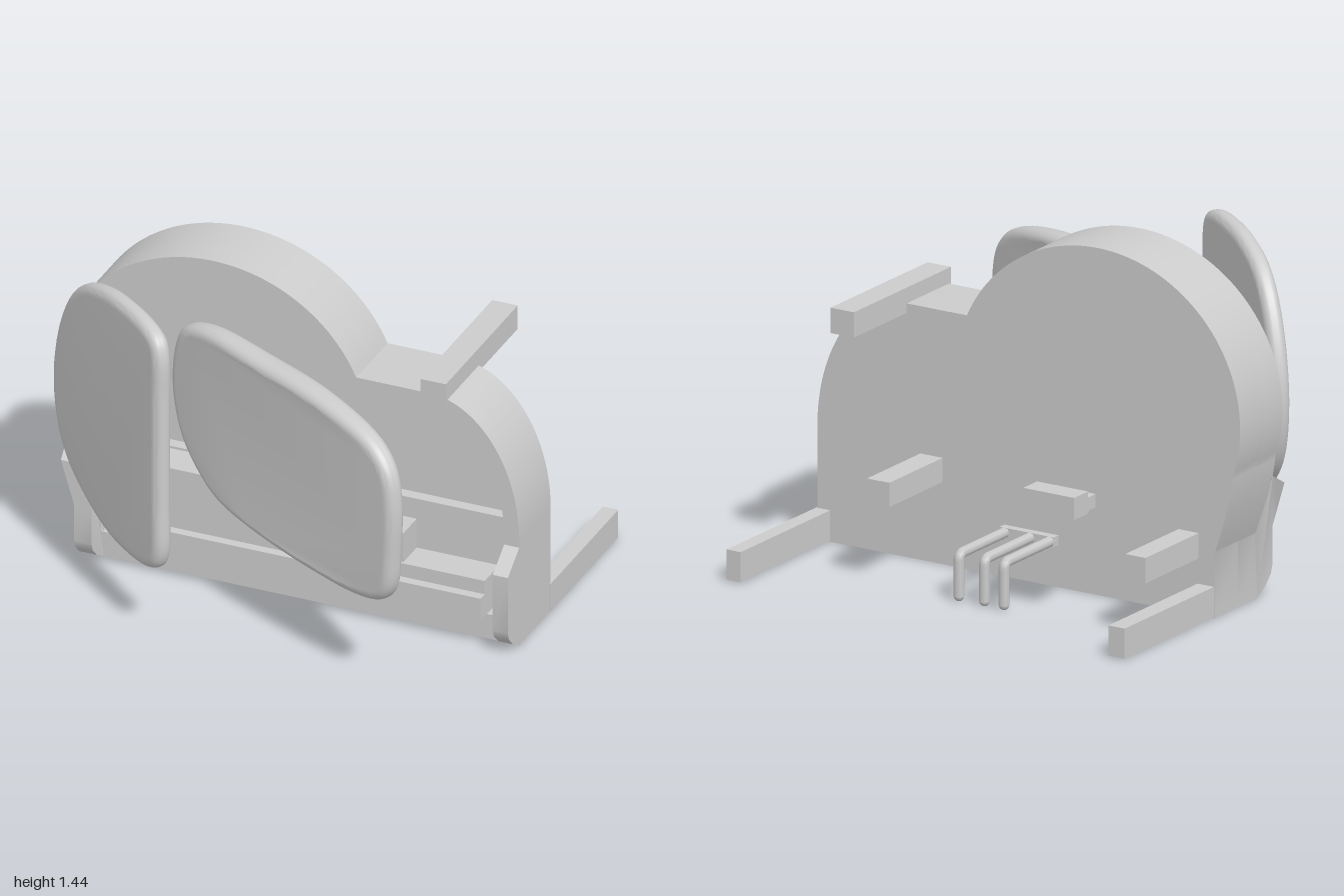
import * as THREE from 'three';
import { toCreasedNormals } from 'three/addons/utils/BufferGeometryUtils.js';

const grey = new THREE.MeshStandardMaterial({ color: 0xcccccc });

export function createModel() {
  const group = new THREE.Group();

  const add = (name, geometry) => {
    const mesh = new THREE.Mesh(geometry, grey);
    mesh.name = name;
    group.add(mesh);
    return mesh;
  };

  // box given by its limits on each axis
  const box = (name, x0, x1, y0, y1, z0, z1) =>
    add(name, new THREE.BoxGeometry(x1 - x0, y1 - y0, z1 - z0)
      .translate((x0 + x1) / 2, (y0 + y1) / 2, (z0 + z1) / 2));

  // side profile of [z, y] points, extruded from x0 to x1
  const prism = (profile, x0, x1) =>
    new THREE.ExtrudeGeometry(
      new THREE.Shape(profile.map(([z, y]) => new THREE.Vector2(z, y))),
      { depth: x1 - x0, bevelEnabled: false }
    ).rotateY(-Math.PI / 2).translate(x1, 0, 0);

  // stepped outline: large dome on one side, lower rounded shoulder on the other
  const outline = (Type, inset, floor) => {
    const s = new Type();
    const rx = 0.67 - inset;
    const ry = 0.637 - inset;
    s.moveTo(-0.88 + inset, floor);
    s.lineTo(0.99 - inset, floor);
    s.lineTo(0.99 - inset, 0.47);
    s.absellipse(0.6, 0.47, 0.39 - inset, 0.58 - inset, 0, Math.PI / 2, false);
    s.absellipse(-0.33, 0.8, rx, ry, Math.asin((0.25 - inset) / ry), Math.PI * 1.1, false);
    s.quadraticCurveTo(-0.95 + inset, 0.46, -0.88 + inset, 0.27);
    s.closePath();
    return s;
  };
  const slab = (shape, z0, z1) => toCreasedNormals(
    new THREE.ExtrudeGeometry(shape, { depth: z1 - z0, bevelEnabled: false, curveSegments: 32 })
      .translate(0, 0, z0), 0.5);

  // housing: rim around a recess, closed by a back panel
  const rim = outline(THREE.Shape, 0, 0);
  rim.holes.push(outline(THREE.Path, 0.065, 0.11));
  add('housingRim', slab(rim, 0.02, 0.155));
  add('backPanel', slab(outline(THREE.Shape, 0, 0), -0.15, 0.02));

  // lower interior and front bench
  box('innerLedge', -0.8, 0.925, 0.11, 0.51, 0.01, 0.07);
  box('leftInnerBlock', -0.56, 0.04, 0.25, 0.5, 0.05, 0.22);
  box('rightInnerBlock', 0.41, 0.51, 0.25, 0.42, 0.05, 0.2);
  add('frontBench', prism(
    [[0.05, 0.13], [0.25, 0.13], [0.25, 0.23], [0.21, 0.23], [0.21, 0.29], [0.05, 0.29]],
    -0.74, 0.865));

  // side cheeks flush with the housing, the right-hand one flared outwards at its top
  const toe = [[0.14, 0], [0.156, 0.002], [0.215, 0.035], [0.255, 0.075], [0.267, 0.11]];
  add('leftCheek', toCreasedNormals(prism(
    [...toe, [0.267, 0.36], [0.156, 0.44], [0.14, 0.44]], 0.925, 0.99), 0.6));
  const flared = prism(
    [...toe, [0.267, 0.27], [0.267, 0.36], [0.267, 0.46], [0.156, 0.52], [0.14, 0.52],
      [0.14, 0.36], [0.14, 0.27]], -0.88, -0.805);
  const p = flared.attributes.position;
  for (let i = 0; i < p.count; i++) {
    p.setX(i, p.getX(i) - Math.max(0, p.getY(i) - 0.27) * 0.3);
  }
  add('rightCheek', toCreasedNormals(flared, 0.6));

  // rear legs, pegs and top arm
  box('leftRearLeg', 0.93, 0.996, 0.005, 0.13, -0.795, -0.14);
  box('rightRearLeg', -0.877, -0.8, 0.005, 0.13, -0.795, -0.14);
  box('leftRearPeg', 0.4, 0.505, 0.34, 0.44, -0.535, -0.14);
  box('rightRearPeg', -0.805, -0.71, 0.235, 0.34, -0.535, -0.14);
  box('topArm', 0.57, 0.68, 1.01, 1.115, -0.53, 0.17);

  // stepped block standing off the back
  add('rearBlock', prism(
    [[-0.535, 0.438], [-0.435, 0.438], [-0.425, 0.45], [-0.38, 0.45], [-0.38, 0.505],
      [-0.435, 0.505], [-0.435, 0.53], [-0.535, 0.53]], -0.47, -0.23));

  // three bent prongs on a cross bar
  box('prongBar', -0.145, 0.11, 0.175, 0.215, -0.185, -0.145);
  for (const x of [-0.125, -0.033, 0.087]) {
    const path = new THREE.CurvePath();
    const v = (y, z) => new THREE.Vector3(x, y, z);
    path.add(new THREE.LineCurve3(v(0.195, -0.16), v(0.195, -0.49)));
    path.add(new THREE.QuadraticBezierCurve3(v(0.195, -0.49), v(0.195, -0.512), v(0.17, -0.512)));
    path.add(new THREE.LineCurve3(v(0.17, -0.512), v(0.02, -0.512)));
    add('prong', new THREE.TubeGeometry(path, 40, 0.022, 8));
    add('prongTip', new THREE.SphereGeometry(0.022, 8, 6).translate(x, 0.022, -0.512));
  }

  // swung-out cushions: front outline [x, y], hinge position, swing angle,
  // edge thickness and extra swelling towards the middle
  const cushion = (name, points, x0, z0, angle, thick, swell) => {
    const flat = points.map(([x, y]) => new THREE.Vector3((x - x0) / Math.cos(angle), y, 0));
    const width = Math.max(...flat.map((q) => q.x));
    const curve = new THREE.CatmullRomCurve3(flat, true);
    const shape = new THREE.Shape(
      curve.getPoints(90).slice(0, -1).map((q) => new THREE.Vector2(q.x, q.y)));
    const bevel = thick * 0.42;
    const geometry = new THREE.ExtrudeGeometry(shape, {
      depth: thick - 2 * bevel, bevelThickness: bevel, bevelSize: 0.04,
      bevelOffset: -0.04, bevelSegments: 6
    }).translate(0, 0, bevel - thick / 2);
    const pos = geometry.attributes.position;
    for (let i = 0; i < pos.count; i++) {
      const u = THREE.MathUtils.clamp(pos.getX(i) / width, 0, 1);
      pos.setZ(i, pos.getZ(i) * (1 + swell * Math.sin(Math.PI * u)));
    }
    const mesh = add(name, toCreasedNormals(geometry, 0.9));
    mesh.position.set(x0, 0, z0);
    mesh.rotation.y = -angle;
  };

  cushion('rightCushion', [
    [-0.55, 1.4], [-0.65, 1.385], [-0.78, 1.33], [-0.87, 1.23], [-0.95, 1.03], [-0.98, 0.8],
    [-0.95, 0.6], [-0.88, 0.47], [-0.75, 0.365], [-0.62, 0.305], [-0.5, 0.29], [-0.39, 0.3],
    [-0.32, 0.335], [-0.294, 0.4], [-0.292, 0.6], [-0.292, 0.85], [-0.292, 1.1],
    [-0.294, 1.29], [-0.32, 1.36], [-0.4, 1.395]
  ], -0.975, 0.19, 0.655, 0.08, 0);

  cushion('leftCushion', [
    [0, 1.21], [-0.3, 1.205], [-0.42, 1.15], [-0.465, 1.04], [-0.475, 0.85], [-0.42, 0.66],
    [-0.3, 0.52], [-0.2, 0.46], [0, 0.42], [0.35, 0.395], [0.56, 0.4], [0.67, 0.435],
    [0.715, 0.5], [0.732, 0.65], [0.738, 0.87], [0.71, 1.02], [0.62, 1.12], [0.35, 1.195]
  ], -0.475, 0.175, 0.453, 0.085, 0.4);

  return group;
}
